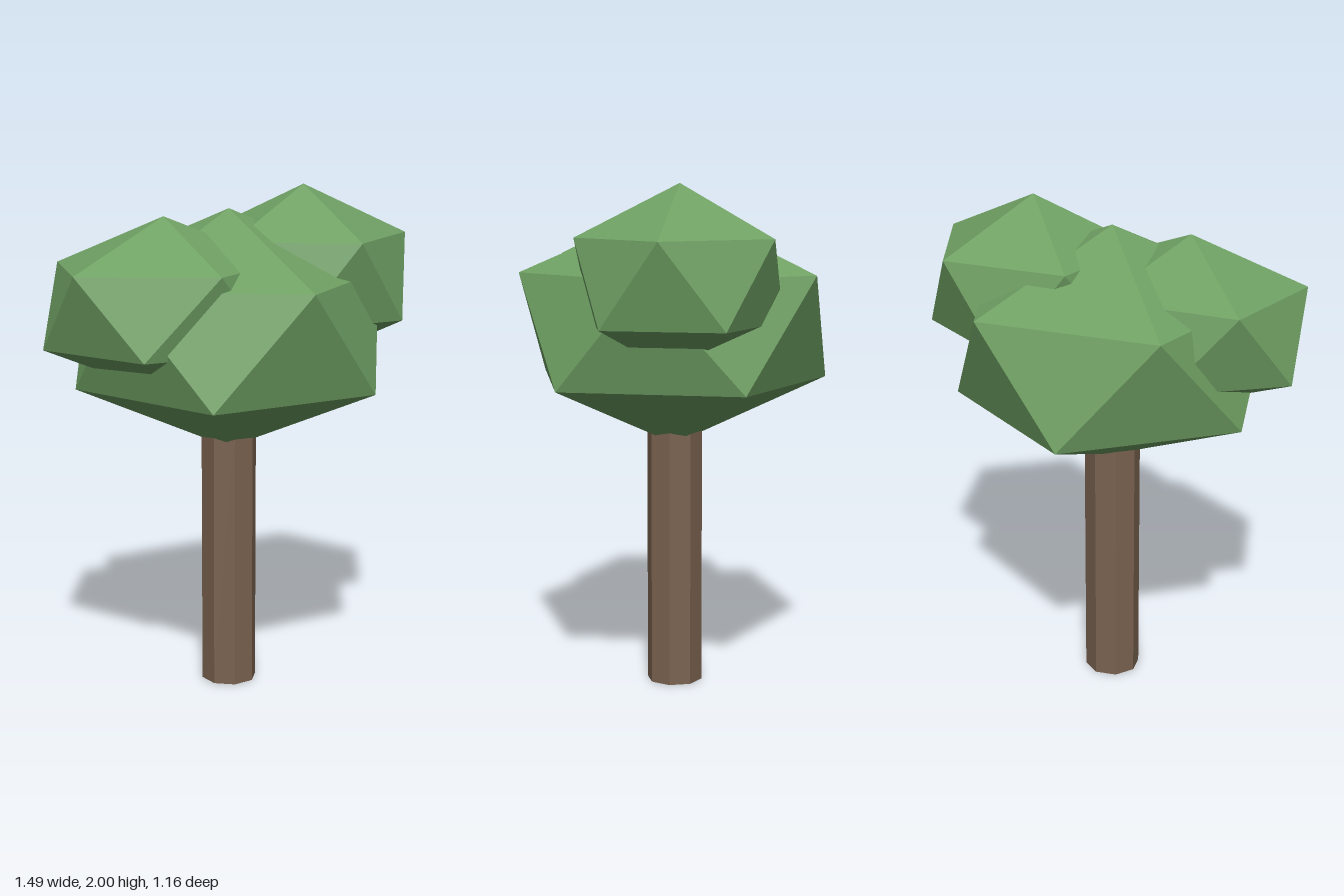
import * as THREE from 'three';

// Twenty-sided clump with a corner at top and bottom and two staggered rings of five
function clumpGeometry() {
  const h = Math.sqrt(0.2), r = 2 * h, step = Math.PI * 2 / 5;
  const ring = (y, turn) => Array.from({ length: 5 }, (_, i) =>
    [r * Math.cos((i + turn) * step), y, r * Math.sin((i + turn) * step)]);
  const up = ring(h, 0), low = ring(-h, 0.5);
  const top = [0, 1, 0], bottom = [0, -1, 0];
  const corners = [];
  for (let i = 0; i < 5; i++) {
    const j = (i + 1) % 5;
    corners.push(top, up[j], up[i]);
    corners.push(up[j], low[i], up[i]);
    corners.push(low[j], low[i], up[j]);
    corners.push(bottom, low[i], low[j]);
  }
  const geo = new THREE.BufferGeometry();
  geo.setAttribute('position', new THREE.Float32BufferAttribute(corners.flat(), 3));
  return geo;
}

export function createModel() {
  const tree = new THREE.Group();
  tree.name = 'tree';

  const leafGreen = new THREE.MeshStandardMaterial({ color: 0x6fa063, flatShading: true });
  leafGreen.name = 'leaf green';
  const barkBrown = new THREE.MeshStandardMaterial({ color: 0x7a6350, flatShading: true });
  barkBrown.name = 'bark brown';

  // Eight-sided trunk, its top sunk into the foliage
  const trunkGeo = new THREE.CylinderGeometry(0.111, 0.111, 1.1, 8);
  trunkGeo.translate(0, 0.55, 0);
  const trunk = new THREE.Mesh(trunkGeo, barkBrown);
  trunk.name = 'trunk';
  tree.add(trunk);

  // Three overlapping foliage clumps: name, centre, radii
  const clumps = [
    ['mainFoliage', [0, 1.4425, 0], [0.682, 0.475, 0.682]],
    ['rightFoliage', [-0.28, 1.5625, 0.12], [0.52, 0.341, 0.437]],
    ['leftFoliage', [0.32, 1.64, -0.08], [0.475, 0.36, 0.44]],
  ];
  for (const [name, centre, radii] of clumps) {
    const geo = clumpGeometry().scale(...radii).translate(...centre);
    geo.computeVertexNormals();
    const clump = new THREE.Mesh(geo, leafGreen);
    clump.name = name;
    tree.add(clump);
  }
  return tree;
}
